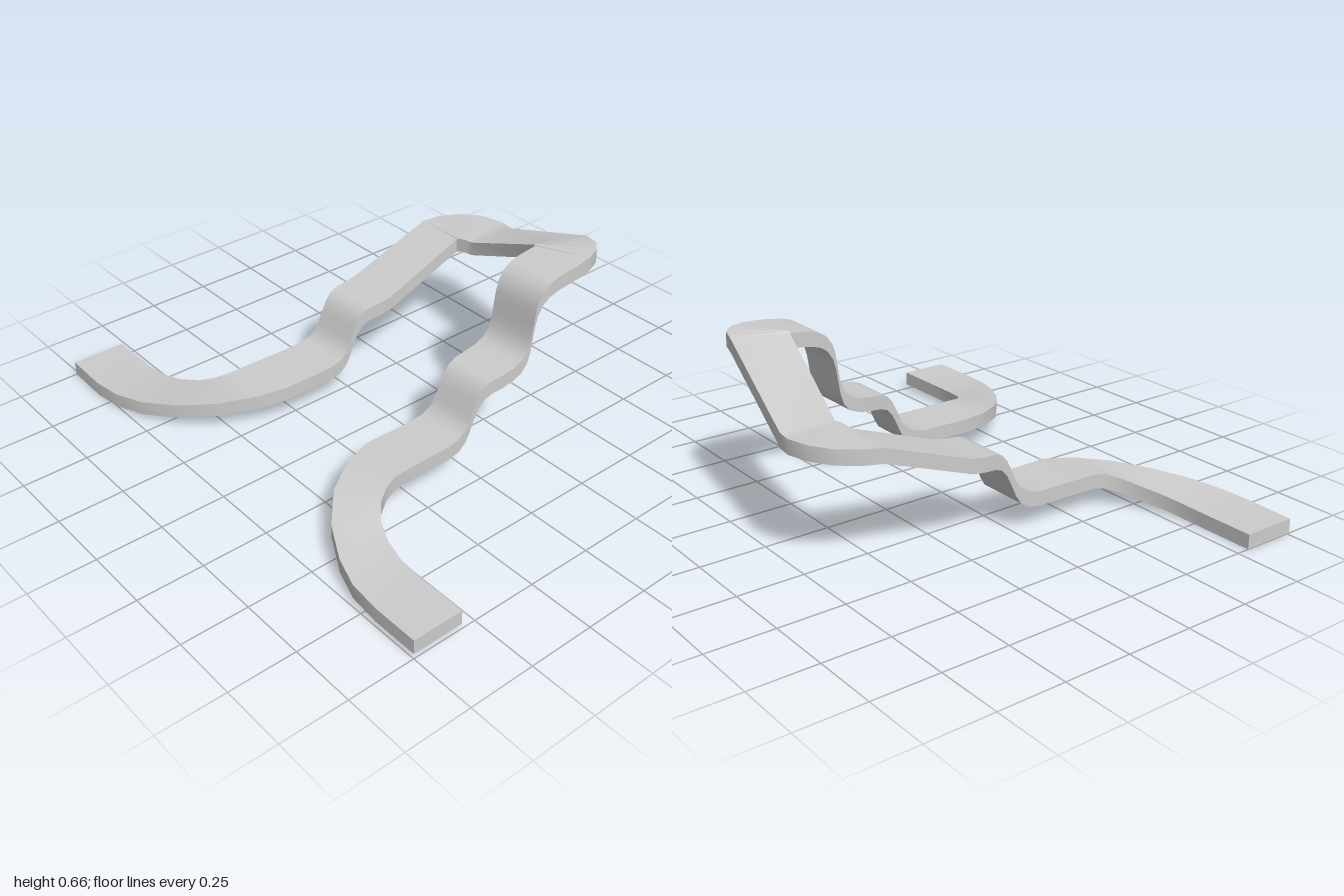
import * as THREE from 'three';
import { toCreasedNormals } from 'three/addons/utils/BufferGeometryUtils.js';

const THICK = 0.055;

// Stations along the strap: [outer x, outer z, inner x, inner z, mid height]
const rightFoot = [
  [-1, 0.55, -1, 0.76, 0.028],
  [-0.78, 0.55, -0.82, 0.765, 0.028],
  [-0.7, 0.543, -0.7, 0.753, 0.033],
  [-0.62, 0.525, -0.58, 0.715, 0.044],
  [-0.54, 0.485, -0.45, 0.635, 0.062],
  [-0.49, 0.445, -0.34, 0.53, 0.082],
  [-0.46, 0.4, -0.265, 0.41, 0.1],
  [-0.447, 0.35, -0.228, 0.3, 0.11],
];
const leftFoot = [
  [0.443, 0.35, 0.235, 0.3, 0.122],
  [0.46, 0.4, 0.265, 0.41, 0.114],
  [0.49, 0.45, 0.34, 0.53, 0.098],
  [0.55, 0.5, 0.46, 0.635, 0.078],
  [0.62, 0.53, 0.59, 0.705, 0.062],
  [0.7, 0.548, 0.7, 0.74, 0.052],
  [0.79, 0.555, 0.82, 0.75, 0.048],
  [1, 0.555, 1, 0.75, 0.048],
];
const rightCorner = [
  [-0.437, -0.55, -0.235, -0.545, 0.433],
  [-0.42, -0.62, -0.225, -0.548, 0.438],
  [-0.37, -0.695, -0.21, -0.551, 0.441],
  [-0.3, -0.745, -0.195, -0.555, 0.443],
  [-0.21, -0.768, -0.18, -0.558, 0.442],
  [-0.15, -0.76, -0.165, -0.56, 0.442],
];
const leftCorner = [
  [0.31, -0.677, 0.235, -0.483, 0.627],
  [0.37, -0.66, 0.237, -0.482, 0.631],
  [0.41, -0.62, 0.238, -0.481, 0.632],
  [0.433, -0.56, 0.239, -0.48, 0.63],
  [0.44, -0.48, 0.24, -0.479, 0.624],
];

// Leg height profiles: [z, mid height]
const lowerBend = [[0.2, 0.11], [0.1, 0.11], [0.05, 0.118], [0.015, 0.14],
  [-0.005, 0.172], [-0.025, 0.217], [-0.045, 0.256], [-0.07, 0.284], [-0.1, 0.296]];
const rightProfile = [...lowerBend, [-0.15, 0.3], [-0.2, 0.307]];
const leftProfile = [...lowerBend.map(([z, y]) => [z, y + 0.012]), [-0.15, 0.313], [-0.2, 0.32],
  [-0.24, 0.337], [-0.265, 0.365], [-0.28, 0.41], [-0.288, 0.46], [-0.296, 0.51],
  [-0.307, 0.547], [-0.33, 0.582], [-0.36, 0.602], [-0.4, 0.613]];

// A leg narrows slightly around its bend
function leg(profile, side, outer, inner) {
  return profile.map(([z, y]) => {
    const pinch = 0.01 * Math.exp(-(((z + 0.03) / 0.07) ** 2));
    return [side * (outer - pinch), z, side * (inner + pinch), z, y];
  });
}

// Rectangular section carried through the stations, with capped ends
function strapGeometry(stations) {
  const rings = stations.map(([ax, az, bx, bz, y]) => [
    [ax, y + THICK / 2, az], [bx, y + THICK / 2, bz],
    [bx, y - THICK / 2, bz], [ax, y - THICK / 2, az],
  ]);
  const pos = [];
  const quad = (a, b, c, d) => pos.push(...a, ...b, ...c, ...a, ...c, ...d);
  for (let i = 0; i < rings.length - 1; i++) {
    for (let k = 0; k < 4; k++) {
      const n = (k + 1) % 4;
      quad(rings[i][k], rings[i][n], rings[i + 1][n], rings[i + 1][k]);
    }
  }
  const s = rings[0], e = rings[rings.length - 1];
  quad(s[0], s[3], s[2], s[1]);
  quad(e[0], e[1], e[2], e[3]);
  const geo = new THREE.BufferGeometry();
  geo.setAttribute('position', new THREE.Float32BufferAttribute(pos, 3));
  return toCreasedNormals(geo, 0.5);
}

export function createModel() {
  const group = new THREE.Group();
  group.name = 'bentStrap';
  const stations = [
    ...rightFoot,
    ...leg(rightProfile, -1, 0.442, 0.228),
    ...rightCorner,
    ...leftCorner,
    ...leg(leftProfile, 1, 0.438, 0.238).reverse(),
    ...leftFoot,
  ];
  const strap = new THREE.Mesh(strapGeometry(stations),
    new THREE.MeshStandardMaterial({ color: 0xcccccc }));
  strap.name = 'strap';
  group.add(strap);
  return group;
}
